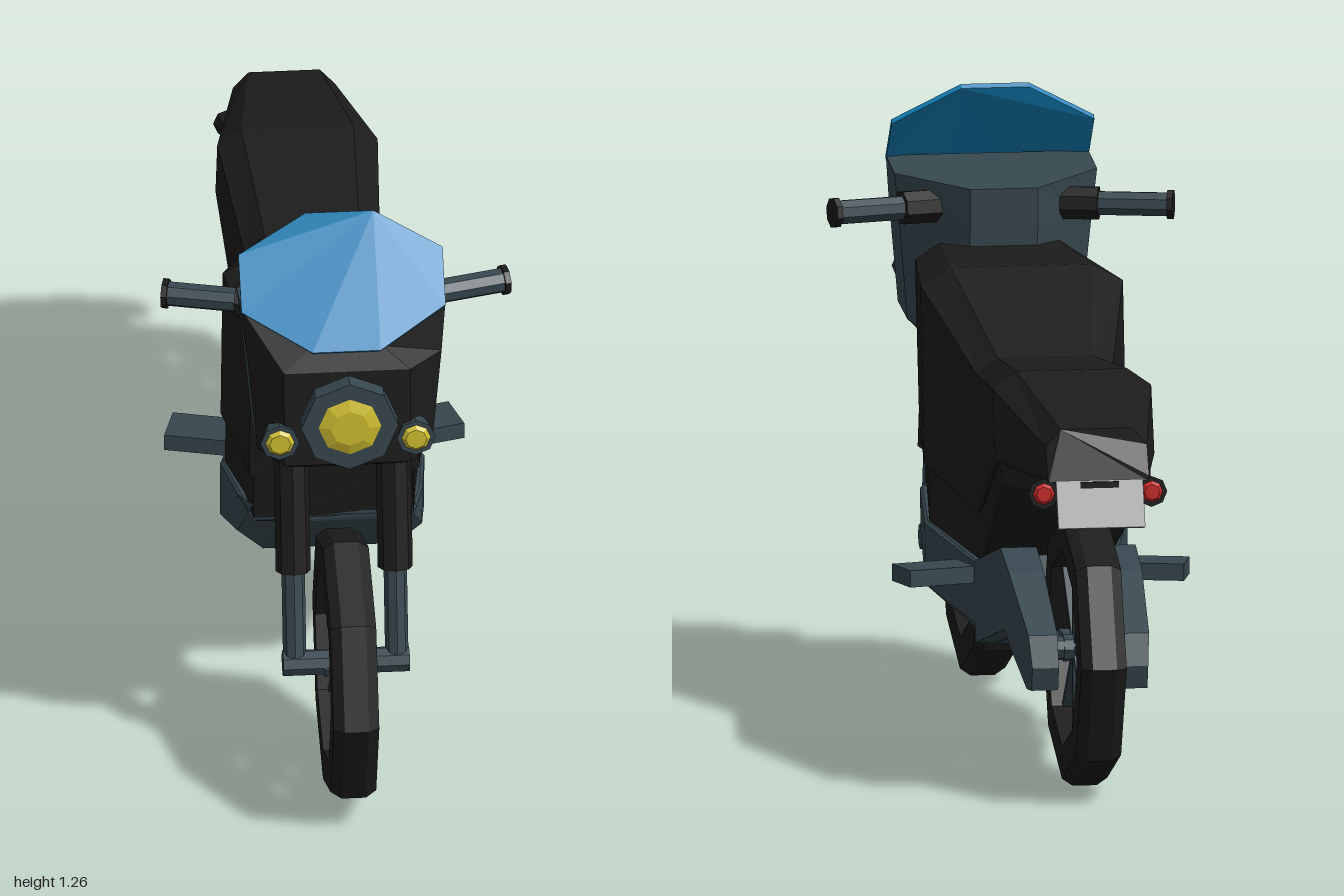
import * as THREE from 'three';

const mat = (color, side = THREE.FrontSide) => new THREE.MeshStandardMaterial({ color, flatShading: true, side });
const black = mat(0x1c1c1c);
const grey = mat(0x37474f);
const blue = mat(0x0f80b8, THREE.DoubleSide);
const yellow = mat(0xd0bf30);
const red = mat(0xc62828);
const plateGrey = mat(0xaaaaaa);

function add(parent, name, geometry, material, x = 0, y = 0, z = 0) {
  const mesh = new THREE.Mesh(geometry, material);
  mesh.name = name;
  mesh.position.set(x, y, z);
  parent.add(mesh);
  return mesh;
}

// Closed, flat-shaded skin over a row of equal-sized rings
function loft(rings) {
  const n = rings[0].length, pos = [];
  const tri = (a, b, c) => pos.push(...a, ...b, ...c);
  for (let i = 0; i < rings.length - 1; i++) {
    for (let j = 0; j < n; j++) {
      const k = (j + 1) % n, r = rings[i], s = rings[i + 1];
      tri(r[j], s[j], s[k]);
      tri(r[j], s[k], r[k]);
    }
  }
  const first = rings[0], last = rings[rings.length - 1];
  for (let j = 1; j < n - 1; j++) {
    tri(first[0], first[j], first[j + 1]);
    tri(last[0], last[j + 1], last[j]);
  }
  // Turn the skin outward if its volume comes out negative
  let volume = 0;
  const a = new THREE.Vector3(), b = new THREE.Vector3(), c = new THREE.Vector3();
  for (let i = 0; i < pos.length; i += 9) {
    volume += a.fromArray(pos, i).dot(b.fromArray(pos, i + 3).cross(c.fromArray(pos, i + 6)));
  }
  if (volume < 0) {
    for (let i = 0; i < pos.length; i += 9) {
      for (let j = 0; j < 3; j++) [pos[i + 3 + j], pos[i + 6 + j]] = [pos[i + 6 + j], pos[i + 3 + j]];
    }
  }
  const g = new THREE.BufferGeometry();
  g.setAttribute('position', new THREE.Float32BufferAttribute(pos, 3));
  g.computeVertexNormals();
  return g;
}

// Body section: half width, top (z, y), bottom (z, y), chamfered corners
function section([w, tz, ty, bz, by], topW, topCut, botW, botCut) {
  const half = [[w * topW, ty, tz], [w, ty - topCut, tz], [w, by + botCut, bz], [w * botW, by, bz]];
  return [...half, ...half.map(([x, y, z]) => [-x, y, z]).reverse()];
}
const body = (stations, ...cuts) => loft(stations.map((s) => section(s, ...cuts)));

// Cylinder running between two points
function rod(parent, name, from, to, r, material, sides = 8) {
  const a = new THREE.Vector3(...from), b = new THREE.Vector3(...to);
  const mesh = add(parent, name, new THREE.CylinderGeometry(r, r, a.distanceTo(b), sides), material);
  mesh.position.copy(a).add(b).multiplyScalar(0.5);
  mesh.quaternion.setFromUnitVectors(new THREE.Vector3(0, 1, 0), b.sub(a).normalize());
  return mesh;
}

// Cylinder facing along z; rFront is at the +z end
const disc = (rFront, rBack, depth) => new THREE.CylinderGeometry(rFront, rBack, depth, 8).rotateX(Math.PI / 2);

function wheel(name, y, z) {
  const g = new THREE.Group();
  g.name = name;
  g.position.set(0, y, z);
  const profile = [[0.205, -0.047], [0.272, -0.047], [0.287, -0.025], [0.287, 0.025], [0.272, 0.047], [0.205, 0.047], [0.205, -0.047]];
  const tyre = new THREE.LatheGeometry(profile.map((p) => new THREE.Vector2(...p)), 8).rotateZ(Math.PI / 2);
  add(g, 'tyre', tyre, black);
  add(g, 'hub', new THREE.CylinderGeometry(0.028, 0.028, 0.09, 8).rotateZ(Math.PI / 2), grey);
  for (let i = 0; i < 8; i++) {
    const spoke = add(g, 'spoke', new THREE.BoxGeometry(0.05, 0.2, 0.012).translate(0, 0.1, 0), grey);
    spoke.rotation.x = (i * Math.PI) / 4;
  }
  return g;
}

export function createModel() {
  const model = new THREE.Group();
  model.name = 'motorcycle';
  model.add(wheel('frontWheel', 0.29, 0.713), wheel('rearWheel', 0.298, -0.707));

  // Tank and seat, with a slightly inset panel below
  add(model, 'tankAndSeat', body([
    [0.175, 0.48, 0.945, 0.42, 0.57],
    [0.21, 0.17, 0.945, 0.12, 0.54],
    [0.14, -0.15, 0.81, -0.155, 0.49],
    [0.165, -0.525, 0.845, -0.57, 0.665],
    [0.105, -0.87, 0.78, -0.9, 0.675],
  ], 0.7, 0.035, 0.97, 0.01), black);
  add(model, 'lowerPanel', body([
    [0.165, 0.42, 0.58, 0.395, 0.45],
    [0.2, 0.12, 0.55, 0.11, 0.415],
    [0.132, -0.155, 0.5, -0.155, 0.38],
    [0.155, -0.57, 0.675, -0.59, 0.615],
    [0.095, -0.885, 0.69, -0.865, 0.645],
  ], 0.97, 0.01, 0.97, 0.01), black);

  // Engine block
  add(model, 'engine', body([
    [0.165, 0.4, 0.46, 0.395, 0.445],
    [0.19, 0.31, 0.47, 0.3, 0.33],
    [0.21, 0.11, 0.43, 0.1, 0.255],
    [0.145, -0.155, 0.39, -0.155, 0.215],
    [0.135, -0.31, 0.425, -0.34, 0.262],
  ], 0.97, 0.005, 0.72, 0.045), grey);

  // Front fairing: grey rear half and black nose, stacked from bottom to top
  // Level: width, rear (z, y), side front z, nose (z, y), nose half width
  const levels = [
    [0.13, 0.435, 0.707, 0.65, 0.69, 0.745, 0.1],
    [0.18, 0.432, 0.76, 0.685, 0.762, 0.79, 0.13],
    [0.2, 0.415, 0.98, 0.675, 0.748, 1.0, 0.13],
    [0.21, 0.41, 1.065, 0.65, 0.725, 1.045, 0.075],
  ];
  add(model, 'fairingBody', loft(levels.map(([w, rz, ry, sz, , ny]) => {
    const sy = ny + (w > 0.205 ? 0.055 : 0);
    const half = [[0.07, ry, rz], [w, (ry + sy) / 2, rz + 0.12], [w, sy, sz]];
    return [...half, ...half.map(([x, y, z]) => [-x, y, z]).reverse()];
  })), grey);
  add(model, 'fairingNose', loft(levels.map(([w, , , sz, nz, ny, nw]) => {
    const sy = ny + (w > 0.205 ? 0.055 : 0);
    return [[w, sy, sz], [nw, ny, nz], [-nw, ny, nz], [-w, sy, sz]];
  })), black);

  // Windscreen
  add(model, 'windscreen', loft([0, -0.008].map((d) => {
    const half = [[0.07, 1.262, 0.545], [0.21, 1.187, 0.575], [0.21, 1.097, 0.657], [0.07, 1.04, 0.735]];
    return [...half, ...half.map(([x, y, z]) => [-x, y, z]).reverse()].map(([x, y, z]) => [x, y + d, z + d]);
  })), blue);

  // Headlight
  add(model, 'headlightMount', disc(0.07, 0.085, 0.06), black, 0, 0.91, 0.76);
  add(model, 'headlightRim', disc(0.1, 0.1, 0.038), grey, 0, 0.91, 0.8);
  add(model, 'headlightLens', disc(0.04, 0.077, 0.012), yellow, 0, 0.91, 0.821);

  // Paired parts
  for (const s of [1, -1]) {
    const side = new THREE.Group();
    side.name = s > 0 ? 'leftParts' : 'rightParts';
    model.add(side);

    // Front lamp and rear indicator
    add(side, 'frontLampCup', disc(0.04, 0.028, 0.05), grey, s * 0.14, 0.85, 0.745);
    add(side, 'frontLampLens', disc(0.022, 0.031, 0.008), yellow, s * 0.14, 0.85, 0.773);
    rod(side, 'indicatorStalk', [s * 0.06, 0.665, -0.86], [s * 0.115, 0.65, -0.87], 0.014, black, 6);
    add(side, 'indicatorCup', disc(0.018, 0.032, 0.035), black, s * 0.112, 0.65, -0.873);
    add(side, 'indicatorLens', disc(0.023, 0.016, 0.008), red, s * 0.112, 0.65, -0.894);

    // Handlebar
    rod(side, 'handlebarClamp', [s * 0.13, 1.02, 0.49], [s * 0.205, 1.02, 0.47], 0.036, black);
    rod(side, 'grip', [s * 0.19, 1.02, 0.475], [s * 0.35, 1.02, 0.432], 0.026, grey);
    rod(side, 'gripEnd', [s * 0.342, 1.02, 0.434], [s * 0.354, 1.02, 0.431], 0.032, black);

    // Fork leg and axle
    const x = s * 0.105;
    rod(side, 'forkUpper', [x, 0.8, 0.602], [x, 0.49, 0.671], 0.036, black);
    rod(side, 'forkLower', [x, 0.52, 0.664], [x, 0.29, 0.713], 0.024, grey);
    rod(side, 'axleCap', [s * 0.03, 0.295, 0.713], [s * 0.13, 0.295, 0.713], 0.027, grey);

    // Swing arm beside the rear wheel
    const arm = [
      [0.145, -0.155, 0.39, -0.155, 0.218],
      [0.14, -0.475, 0.47, -0.53, 0.31],
      [0.138, -0.58, 0.435, -0.59, 0.285],
      [0.125, -0.765, 0.335, -0.74, 0.22],
      [0.12, -0.787, 0.27, -0.775, 0.222],
    ];
    add(side, 'swingArm', loft(arm.map(([w, tz, ty, bz, by]) => [
      [s * 0.065, ty, tz], [s * w, ty, tz], [s * w, by, bz], [s * 0.065, by, bz],
    ])), grey);
    rod(side, 'rearAxle', [s * 0.03, 0.298, -0.707], [s * 0.1, 0.298, -0.707], 0.025, grey);

    // Foot peg
    add(side, 'footPeg', new THREE.BoxGeometry(0.22, 0.035, 0.095), grey, s * 0.19, 0.36, -0.113).rotation.y = s * 0.27;
  }

  // Number plate and its bracket
  add(model, 'plateBracket', new THREE.BoxGeometry(0.08, 0.025, 0.08), black, 0, 0.665, -0.88);
  add(model, 'plate', new THREE.BoxGeometry(0.18, 0.1, 0.01), plateGrey, 0, 0.632, -0.927).rotation.x = 0.36;

  return model;
}
